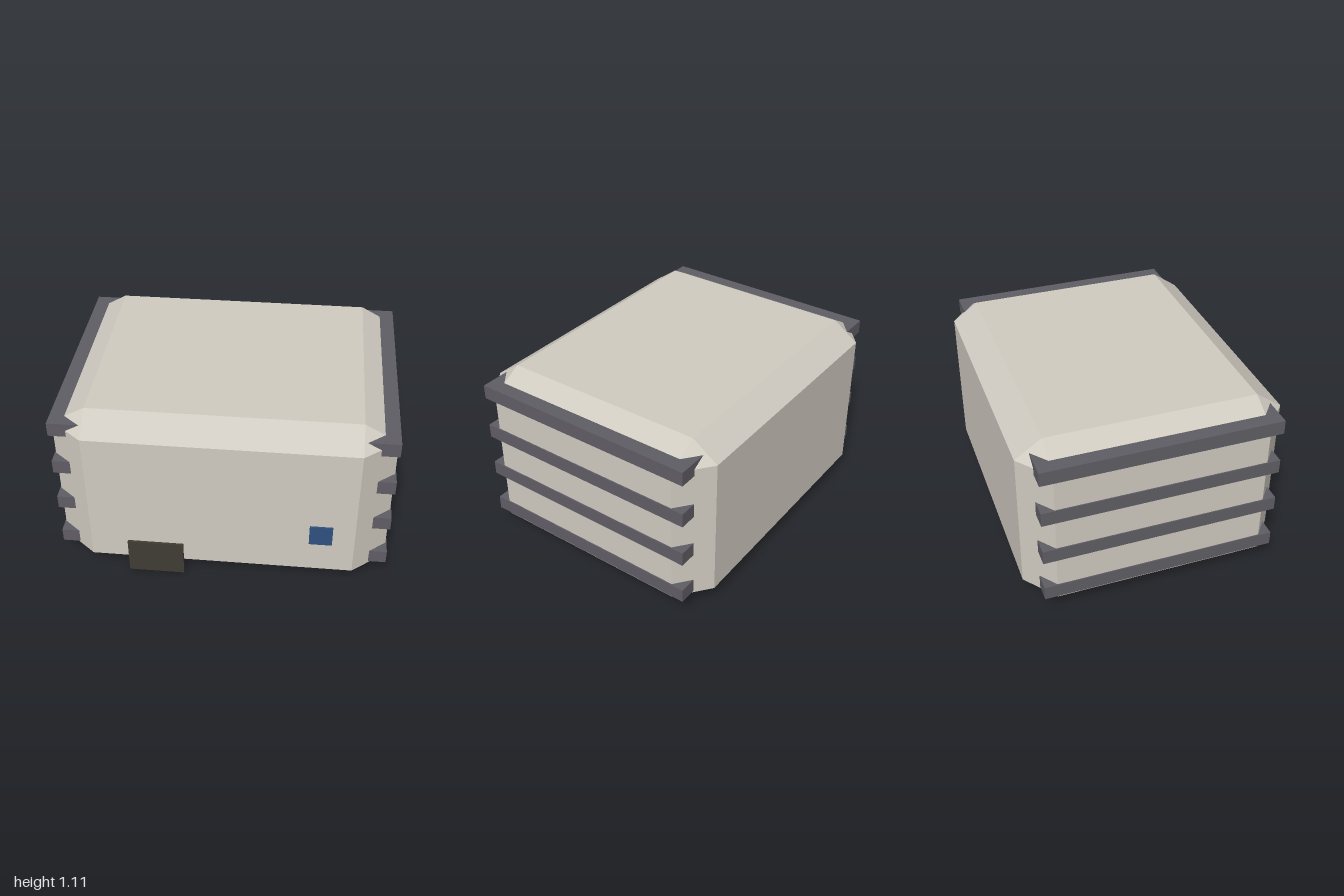
import * as THREE from 'three';
import { ConvexGeometry } from 'three/addons/geometries/ConvexGeometry.js';

const W = 1.986, H = 1.11, D = 1.586, Z = -0.007; // body size and z centre
const CHAMFER = 0.1; // share of each dimension

function material(color) {
  return new THREE.MeshStandardMaterial({ color, flatShading: true });
}

// Box given by its minimum and maximum corners
function box(name, min, max, mat) {
  const size = max.map((v, i) => v - min[i]);
  const mesh = new THREE.Mesh(new THREE.BoxGeometry(...size), mat);
  mesh.position.set(...min.map((v, i) => v + size[i] / 2));
  mesh.name = name;
  return mesh;
}

// Box with chamfered edges and triangular corners
function chamferedBox(w, h, d, share) {
  const points = [];
  const half = [w / 2, h / 2, d / 2];
  for (const sx of [-1, 1]) for (const sy of [-1, 1]) for (const sz of [-1, 1]) {
    for (let outer = 0; outer < 3; outer++) {
      const p = [sx, sy, sz].map((s, i) => s * half[i] * (i === outer ? 1 : 1 - 2 * share));
      points.push(new THREE.Vector3(...p));
    }
  }
  return new ConvexGeometry(points);
}

export function createModel() {
  const group = new THREE.Group();

  // Main casing
  const body = new THREE.Mesh(chamferedBox(W, H, D, CHAMFER), material(0xd0cbc1));
  body.name = 'body';
  body.position.set(0, H / 2, Z);
  group.add(body);

  // Bands passing through the casing, showing as rails on both sides
  const bands = new THREE.Group();
  bands.name = 'sideRails';
  const bandMat = material(0x605e65);
  for (let i = 0; i < 4; i++) {
    const y = 0.166 + i * 0.278;
    bands.add(box('rail', [-1, y - 0.044, Z - 0.714], [1, y + 0.044, Z + 0.714], bandMat));
  }
  group.add(bands);

  // Front details
  group.add(box('frontPlate', [-0.57, 0.003, 0.775], [-0.23, 0.24, 0.8], material(0x403c35)));
  group.add(box('controlPanel', [0.525, 0.32, 0.77], [0.662, 0.459, 0.795], material(0x2f5080)));

  return group;
}
